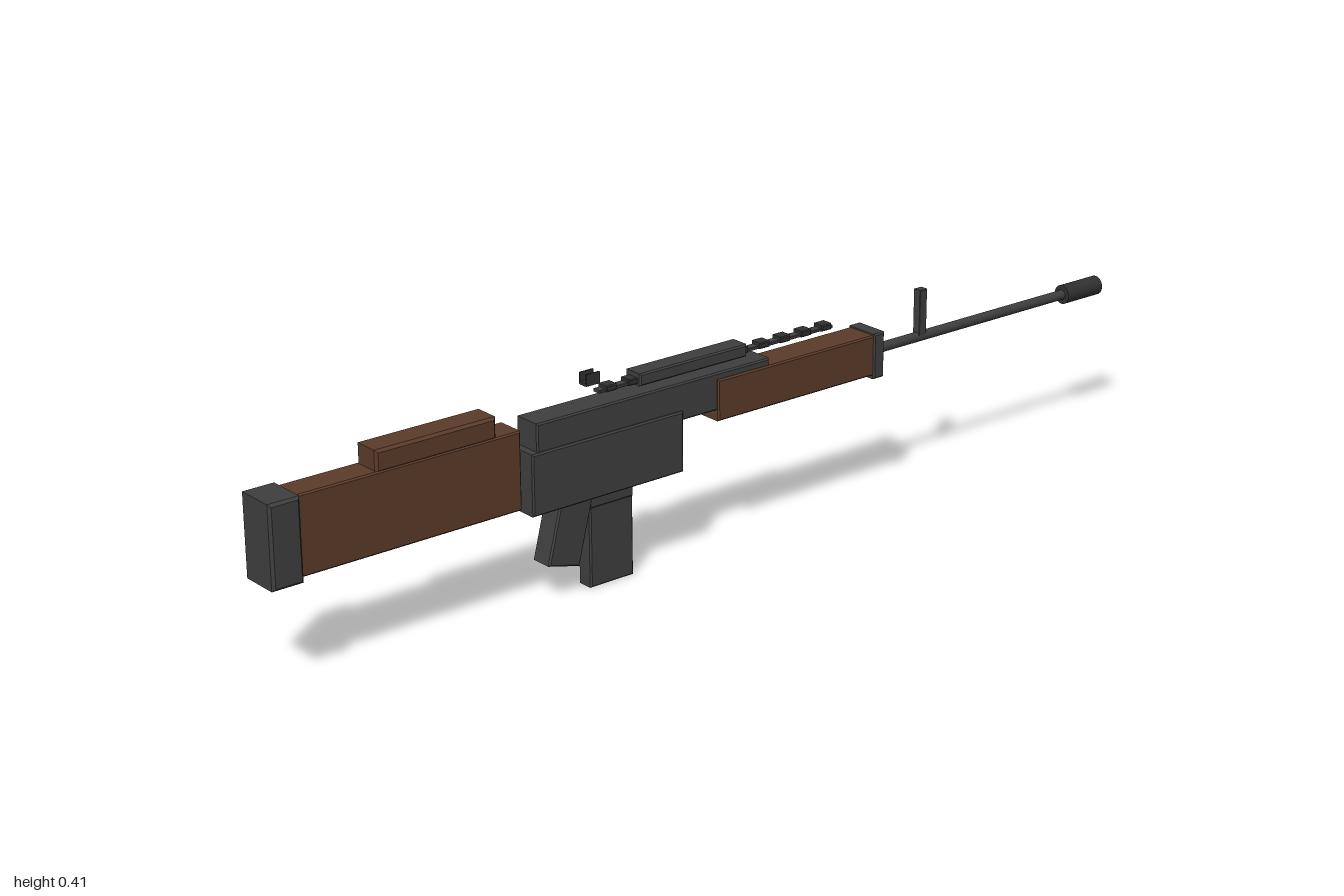
import * as THREE from 'three';

const mat = (name, color) => {
  const m = new THREE.MeshStandardMaterial({ color });
  m.name = name;
  return m;
};

export function createModel() {
  const model = new THREE.Group();
  const wood = mat('wood brown', 0x5a3b29);
  const metal = mat('gunmetal grey', 0x3e3e3e);
  const dark = mat('dark steel', 0x303030);

  const add = (name, geometry, material) => {
    const mesh = new THREE.Mesh(geometry, material);
    mesh.name = name;
    model.add(mesh);
    return mesh;
  };

  // Block from x/y extents and half depth; the side outlines carry a small chamfer
  const block = (name, material, x0, x1, y0, y1, hz, bevel = 0.003) => {
    const w = (x1 - x0) / 2 - bevel, h = (y1 - y0) / 2 - bevel;
    const shape = new THREE.Shape([
      new THREE.Vector2(-w, -h), new THREE.Vector2(w, -h),
      new THREE.Vector2(w, h), new THREE.Vector2(-w, h),
    ]);
    const depth = 2 * (hz - bevel);
    const g = new THREE.ExtrudeGeometry(shape, {
      depth, bevelEnabled: bevel > 0, bevelThickness: bevel, bevelSize: bevel, bevelSegments: 1,
    });
    g.translate(0, 0, -depth / 2);
    const mesh = add(name, g, material);
    mesh.position.set((x0 + x1) / 2, (y0 + y1) / 2, 0);
    return mesh;
  };

  // Round bar along x
  const bar = (name, material, x0, x1, y, r) => {
    const g = new THREE.CylinderGeometry(r, r, x1 - x0, 20);
    g.rotateZ(-Math.PI / 2);
    add(name, g, material).position.set((x0 + x1) / 2, y, 0);
  };

  // Stock
  block('buttPad', metal, -1, -0.938, 0.195, 0.351, 0.043, 0.005);
  block('stock', wood, -0.942, -0.48, 0.2, 0.349, 0.03);
  block('cheekRest', wood, -0.78, -0.53, 0.345, 0.387, 0.029, 0.005);

  // Receiver
  block('lowerReceiver', metal, -0.46, -0.118, 0.182, 0.3, 0.035);
  block('upperReceiver', metal, -0.445, 0.092, 0.28, 0.353, 0.03);

  // Magazine and grip
  block('magazineWell', metal, -0.325, -0.225, 0.158, 0.184, 0.021);
  block('magazine', metal, -0.323, -0.224, 0.002, 0.175, 0.018);
  const grip = block('grip', metal, -0.405, -0.333, 0.062, 0.202, 0.024);
  grip.rotation.z = -0.25;

  // Fore-end
  block('foreEnd', wood, -0.035, 0.379, 0.259, 0.34, 0.034);
  block('foreEndCap', metal, 0.35, 0.377, 0.252, 0.343, 0.037);

  // Barrel and muzzle
  bar('barrel', metal, 0.36, 0.96, 0.296, 0.01);
  bar('muzzle', dark, 0.902, 1, 0.296, 0.0195);

  // Top rail with cross teeth and cover
  block('rail', metal, -0.29, 0.268, 0.367, 0.373, 0.009, 0.001);
  for (let i = 0; i < 11; i++) {
    const x = -0.265 + i * 0.0515;
    block('railTooth', dark, x - 0.012, x + 0.012, 0.367, 0.379, 0.013, 0.002);
  }
  block('railCover', metal, -0.207, 0.045, 0.364, 0.388, 0.021);

  // Sights
  block('frontSight', metal, 0.495, 0.514, 0.298, 0.393, 0.009, 0.001);
  block('rearSightBase', dark, -0.32, -0.29, 0.387, 0.393, 0.01, 0.001);
  for (const side of [-1, 1]) {
    block('rearSightPost', dark, -0.32, -0.29, 0.388, 0.41, 0.0018, 0).position.z = side * 0.0092;
  }

  return model;
}
